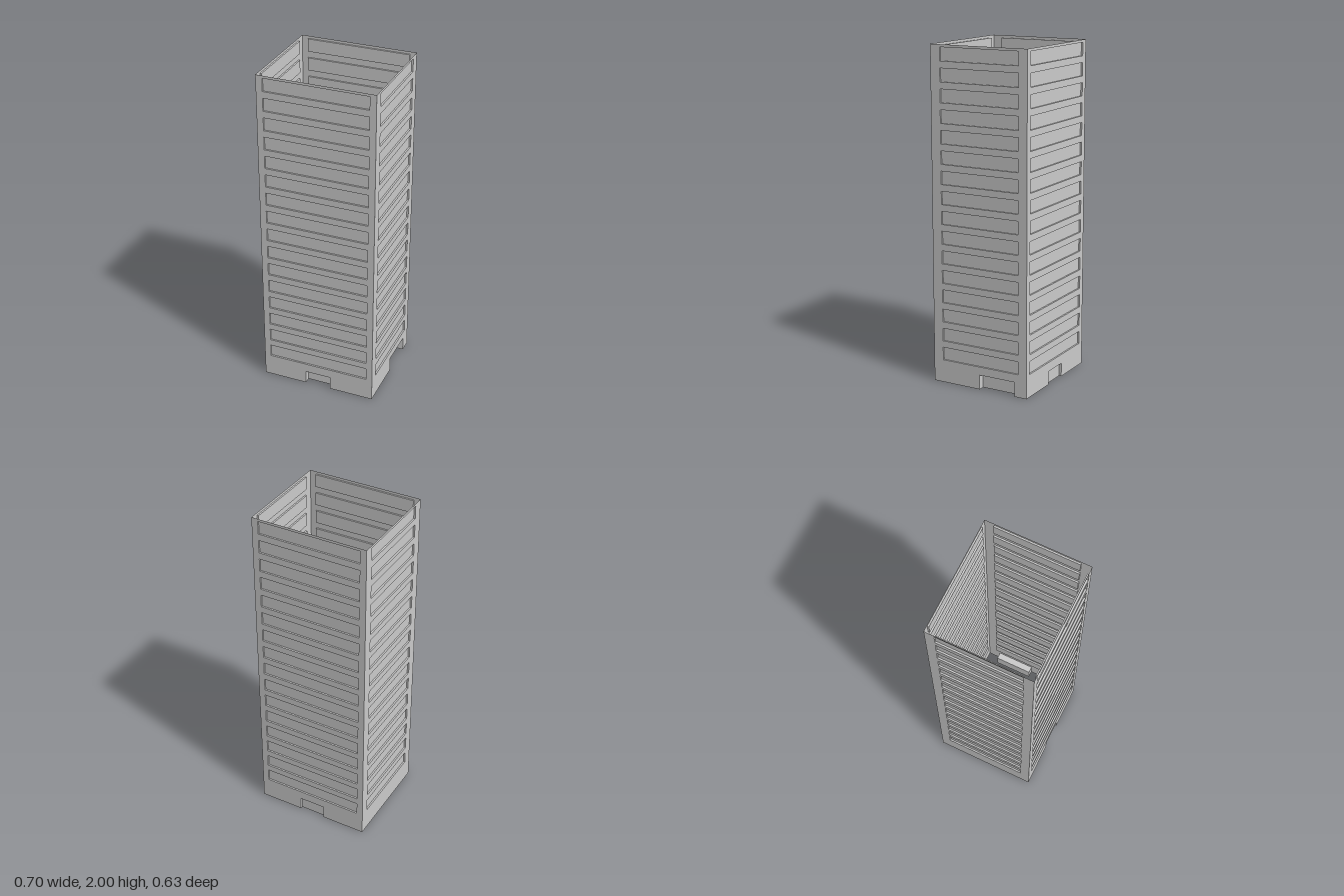
import * as THREE from 'three';
import { mergeGeometries } from 'three/addons/utils/BufferGeometryUtils.js';

const HEIGHT = 2, HALF_X = 0.352, HALF_Z = 0.313;
const ROWS = 16, FIRST_ROW = 0.138, ROW_STEP = 0.1179, WINDOW_HEIGHT = 0.078, WINDOW_DEPTH = 0.01;

// Inward recess behind an opening: a box without its outer face (and without a floor for doors)
function recess(x0, x1, y0, y1, depth, floor) {
  const box = new THREE.BoxGeometry(x1 - x0, y1 - y0, depth);
  const index = Array.from(box.index.array);
  // box sides in order: +x, -x, +y, -y, +z, -z, six indices each
  const sides = floor ? [0, 1, 2, 3, 5] : [0, 1, 2, 5];
  // reversed so that the faces look into the recess
  box.setIndex(sides.flatMap((s) => index.slice(s * 6, s * 6 + 6).reverse()));
  const normal = box.attributes.normal;
  for (let i = 0; i < normal.array.length; i++) normal.array[i] *= -1;
  box.clearGroups();
  return box.translate((x0 + x1) / 2, (y0 + y1) / 2, -depth / 2);
}

// One thin facade, drawn in its own plane with z pointing outwards
function facade(name, halfWidth, distance, angle, [w0, w1], door, material) {
  const group = new THREE.Group();
  group.name = name;
  const add = (geometry, part) => {
    const mesh = new THREE.Mesh(geometry, material);
    mesh.name = part;
    group.add(mesh);
  };

  // Outline, with a notch at the ground for the door
  const outline = [[-halfWidth, 0]];
  if (door) outline.push([door.x0, 0], [door.x0, door.height], [door.x1, door.height], [door.x1, 0]);
  outline.push([halfWidth, 0], [halfWidth, HEIGHT], [-halfWidth, HEIGHT]);
  const shape = new THREE.Shape(outline.map(([x, y]) => new THREE.Vector2(x, y)));

  // Window bands
  const windows = [];
  for (let i = 0; i < ROWS; i++) {
    const y0 = FIRST_ROW + i * ROW_STEP, y1 = y0 + WINDOW_HEIGHT;
    shape.holes.push(new THREE.Path([[w0, y0], [w0, y1], [w1, y1], [w1, y0]]
      .map(([x, y]) => new THREE.Vector2(x, y))));
    windows.push(recess(w0, w1, y0, y1, WINDOW_DEPTH, true));
  }
  add(new THREE.ShapeGeometry(shape), 'wall');
  add(mergeGeometries(windows), 'windowBands');
  if (door) add(recess(door.x0, door.x1, 0, door.height, door.depth, false), 'doorway');

  group.rotation.y = angle;
  group.position.set(Math.sin(angle) * distance, 0, Math.cos(angle) * distance);
  return group;
}

export function createModel() {
  const model = new THREE.Group();
  model.name = 'towerBlock';
  const material = new THREE.MeshStandardMaterial({ color: 0xcccccc, side: THREE.DoubleSide });

  const wide = [-0.313, 0.313];
  model.add(
    facade('frontFacade', HALF_X, HALF_Z, 0, wide,
      { x0: -0.08, x1: 0.08, height: 0.082, depth: 0.04 }, material),
    facade('backFacade', HALF_X, HALF_Z, Math.PI, wide,
      { x0: -0.08, x1: 0.08, height: 0.082, depth: 0.015 }, material),
    facade('sideFacadeWithDoor', HALF_Z, HALF_X, Math.PI / 2, [-0.251, 0.257],
      { x0: 0, x1: 0.236, height: 0.088, depth: 0.04 }, material),
    facade('plainSideFacade', HALF_Z, HALF_X, -Math.PI / 2, [-0.254, 0.254], null, material),
  );
  return model;
}
